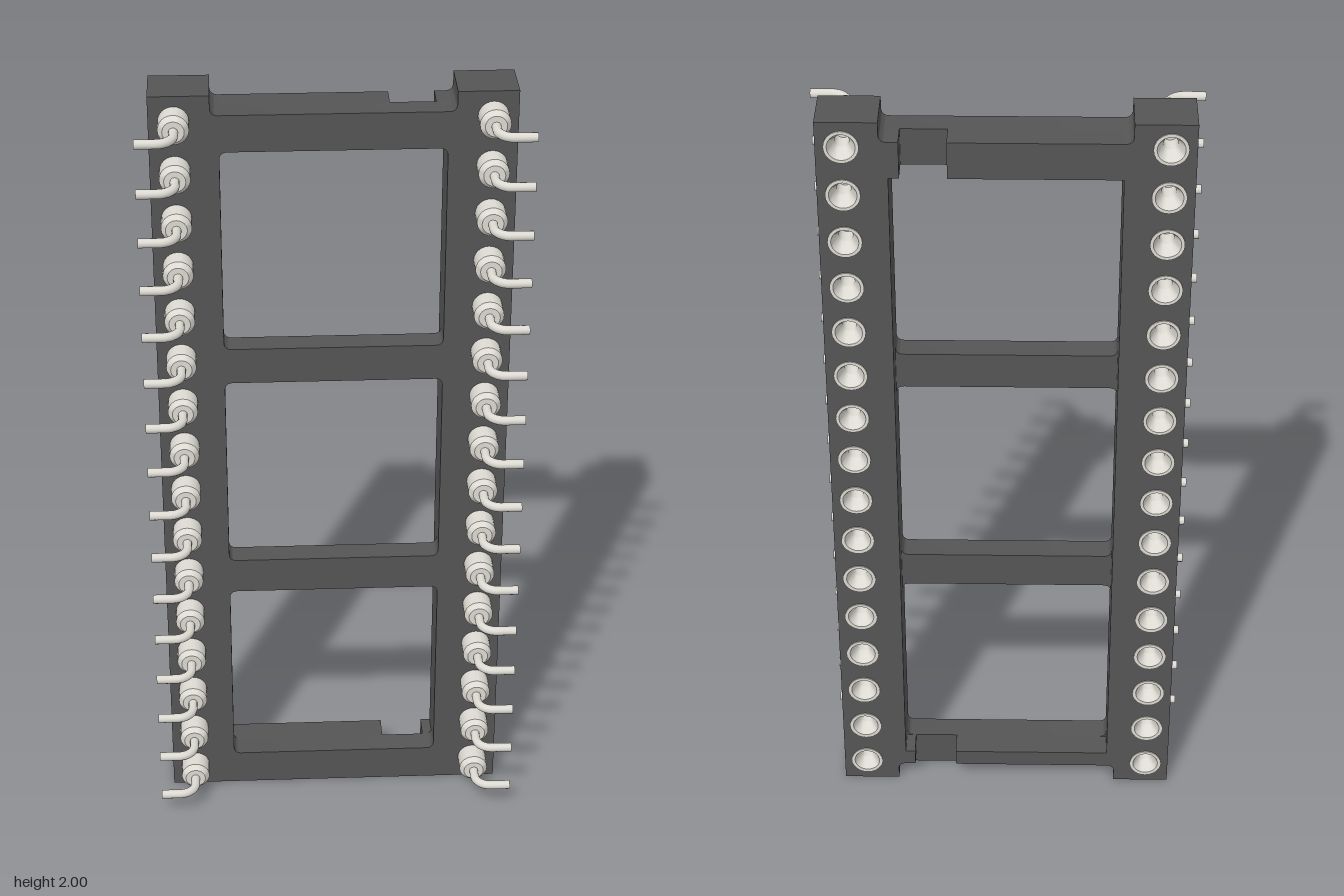
import * as THREE from 'three';
import { toCreasedNormals } from 'three/addons/utils/BufferGeometryUtils.js';

const COUNT = 16, PIN_X = 0.375, W = 0.435, INNER = 0.27, SLOT = 0.29;
const BACK = -0.136, MID = -0.07, FRONT = -0.006;
const pinY = (i) => 0.0625 + i * 0.125;

const plastic = new THREE.MeshStandardMaterial({ color: 0x555555 });
const metal = new THREE.MeshStandardMaterial({ color: 0xdcdad2 });

// Rounded rectangle window
function windowPath(y0, y1, x = INNER, r = 0.02) {
  const p = new THREE.Path();
  p.moveTo(-x + r, y0);
  p.lineTo(x - r, y0).quadraticCurveTo(x, y0, x, y0 + r);
  p.lineTo(x, y1 - r).quadraticCurveTo(x, y1, x - r, y1);
  p.lineTo(-x + r, y1).quadraticCurveTo(-x, y1, -x, y1 - r);
  p.lineTo(-x, y0 + r).quadraticCurveTo(-x, y0, -x + r, y0);
  return p;
}

// Round holes for one row of pins
function addPinHoles(shape, side) {
  for (let i = 0; i < COUNT; i++) {
    const hole = new THREE.Path();
    hole.absarc(side * PIN_X, pinY(i), 0.0365, 0, Math.PI * 2, true);
    shape.holes.push(hole);
  }
}

function slab(shape, z0, z1, name) {
  const geo = new THREE.ExtrudeGeometry(shape, { depth: z1 - z0, bevelEnabled: false, curveSegments: 12 });
  geo.translate(0, 0, z0);
  const mesh = new THREE.Mesh(toCreasedNormals(geo, 0.6), plastic);
  mesh.name = name;
  return mesh;
}

// Front half: full frame with a notch in the top and three windows
function frontFrame() {
  const s = new THREE.Shape(), r = 0.02, n = 1.95;
  s.moveTo(-W, 0);
  s.lineTo(W, 0).lineTo(W, 2).lineTo(SLOT, 2).lineTo(SLOT, n + r);
  s.quadraticCurveTo(SLOT, n, SLOT - r, n);
  s.lineTo(-SLOT + r, n).quadraticCurveTo(-SLOT, n, -SLOT, n + r);
  s.lineTo(-SLOT, 2).lineTo(-W, 2).lineTo(-W, 0);
  for (const [a, b] of [[0.095, 0.62], [0.715, 1.238], [1.332, 1.857]]) s.holes.push(windowPath(a, b));
  addPinHoles(s, -1);
  addPinHoles(s, 1);
  return slab(s, MID, FRONT, 'frontFrame');
}

// Back half of a side rail, set back at both ends
function backRail(side) {
  const s = new THREE.Shape(), x = (v) => side * v, r = 0.02;
  s.moveTo(x(W), 0);
  s.lineTo(x(W), 2).lineTo(x(SLOT), 2).lineTo(x(SLOT), 1.95 + r);
  s.quadraticCurveTo(x(SLOT), 1.95, x(INNER), 1.95);
  s.lineTo(x(INNER), 0.05).quadraticCurveTo(x(SLOT), 0.05, x(SLOT), 0.05 - r);
  s.lineTo(x(SLOT), 0).lineTo(x(W), 0);
  addPinHoles(s, side);
  return slab(s, BACK, MID, side > 0 ? 'leftBackRail' : 'rightBackRail');
}

// Raised end walls, interrupted by a key gap on one side
function endWall(x0, x1, y0, y1) {
  const geo = new THREE.BoxGeometry(x1 - x0, y1 - y0, MID - BACK);
  const mesh = new THREE.Mesh(geo, plastic);
  mesh.position.set((x0 + x1) / 2, (y0 + y1) / 2, (MID + BACK) / 2);
  mesh.name = 'endWall';
  return mesh;
}

// Turned socket: bore, funnel mouth, lip and chamfered collar
function socketGeometry() {
  const profile = [
    [0, -0.06], [0.017, -0.06], [0.017, -0.105], [0.033, -0.139], [0.041, -0.139],
    [0.041, -0.134], [0.037, -0.134], [0.037, 0.045], [0.026, 0.058], [0, 0.058],
  ].map(([r, y]) => new THREE.Vector2(r, y));
  const geo = new THREE.LatheGeometry(profile, 24);
  geo.rotateX(Math.PI / 2);
  return toCreasedNormals(geo, 0.5);
}

// Bent lead leaving the collar and turning outwards
function leadGeometry() {
  const v = (x, z) => new THREE.Vector3(x, 0, z);
  const path = new THREE.CurvePath();
  path.add(new THREE.LineCurve3(v(0, 0.05), v(0, 0.083)));
  path.add(new THREE.CubicBezierCurve3(v(0, 0.083), v(0, 0.105), v(0.018, 0.123), v(0.04, 0.123)));
  path.add(new THREE.LineCurve3(v(0.04, 0.123), v(0.09, 0.123)));
  return new THREE.TubeGeometry(path, 24, 0.0115, 12);
}

export function createModel() {
  const model = new THREE.Group();
  model.name = 'pinSocket';

  const body = new THREE.Group();
  body.name = 'body';
  body.add(frontFrame(), backRail(1), backRail(-1));
  for (const [y0, y1] of [[0.05, 0.095], [1.857, 1.95]]) {
    body.add(endWall(-INNER, 0.135, y0, y1), endWall(0.245, INNER, y0, y1));
  }
  model.add(body);

  // Two mirrored rows of pins
  const socketGeo = socketGeometry(), leadGeo = leadGeometry();
  const tipGeo = new THREE.CircleGeometry(0.0115, 12).rotateY(Math.PI / 2).translate(0.09, 0, 0.123);
  for (const side of [1, -1]) {
    const row = new THREE.Group();
    row.name = side > 0 ? 'leftPins' : 'rightPins';
    for (let i = 0; i < COUNT; i++) {
      const pin = new THREE.Group();
      pin.name = 'pin';
      for (const [geo, name] of [[socketGeo, 'socket'], [leadGeo, 'lead'], [tipGeo, 'leadTip']]) {
        const mesh = new THREE.Mesh(geo, metal);
        mesh.name = name;
        pin.add(mesh);
      }
      pin.position.set(side * PIN_X, pinY(i), 0);
      if (side < 0) pin.rotation.z = Math.PI;
      row.add(pin);
    }
    model.add(row);
  }
  return model;
}
